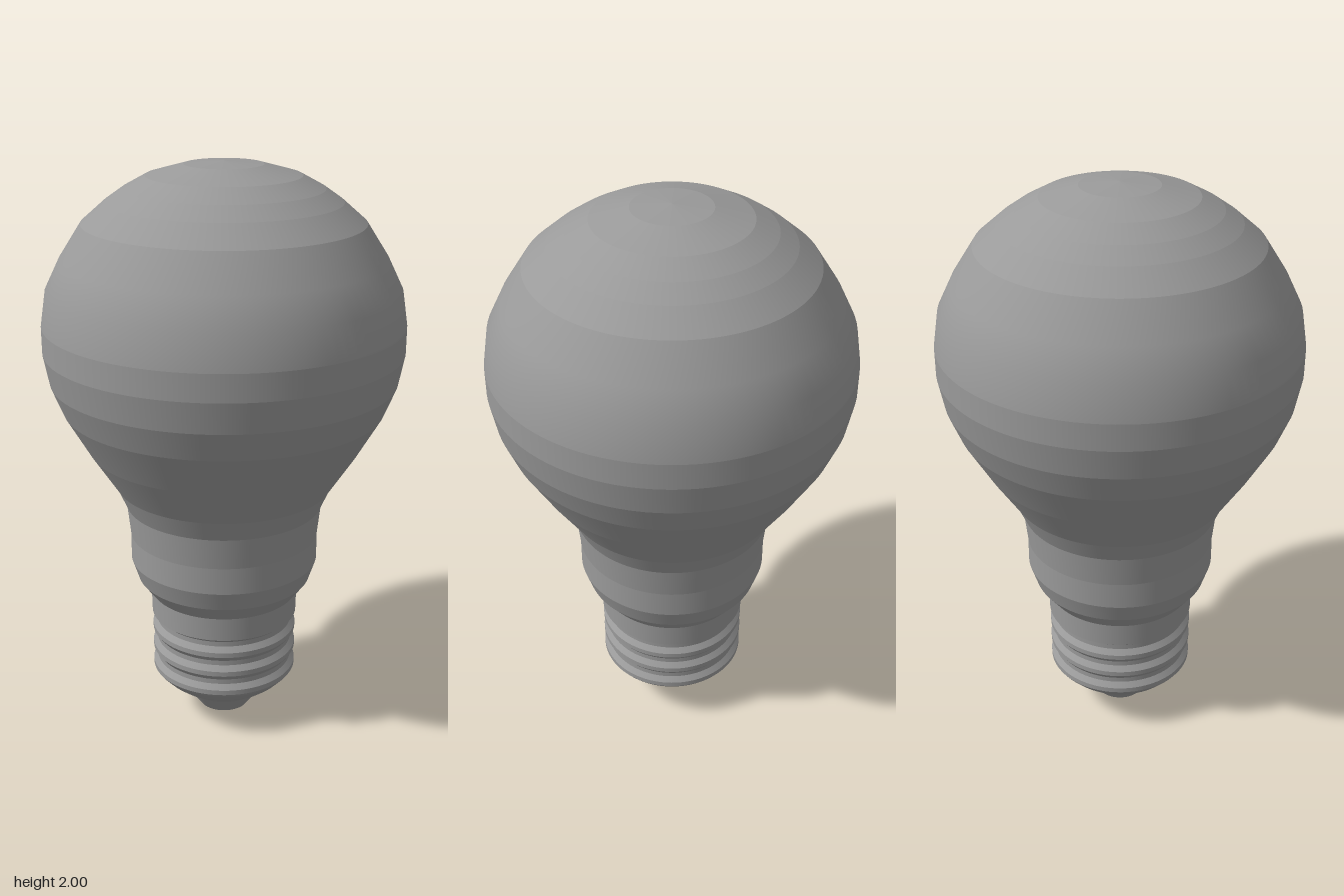
import * as THREE from 'three';
import { mergeGeometries } from 'three/addons/utils/BufferGeometryUtils.js';

const SIDES = 96;
const material = new THREE.MeshStandardMaterial({ color: 0x9a9a9a, side: THREE.DoubleSide });

// Revolve bottom-to-top [radius, height] points; normals are smooth along the profile
function revolve(profile) {
  return new THREE.LatheGeometry(profile.map(([r, y]) => new THREE.Vector2(r, y)), SIDES);
}

// One cone per profile step: smooth around the axis, crisp edges between bands
function banded(profile) {
  return profile.slice(1).map((point, i) => revolve([profile[i], point]));
}

function part(name, geometries) {
  const mesh = new THREE.Mesh(mergeGeometries(geometries), material);
  mesh.name = name;
  return mesh;
}

// Screw thread: three rounded ridges between narrow grooves
function threadProfile() {
  const profile = [[0.222, 0.14], [0.25, 0.17]];
  for (const y of [0.19, 0.265, 0.34]) {
    profile.push([0.258, y - 0.009], [0.258, y + 0.009], [0.243, y + 0.028], [0.243, y + 0.046]);
  }
  profile.push([0.26, 0.4], [0.262, 0.485]);
  return profile;
}

export function createModel() {
  const bulb = new THREE.Group();
  bulb.name = 'lightBulb';

  bulb.add(part('contactTip', banded([
    [0, 0], [0.07, 0.003], [0.09, 0.012], [0.105, 0.032],
  ])));

  bulb.add(part('insulatorCone', banded([
    [0.105, 0.032], [0.135, 0.075], [0.16, 0.1], [0.195, 0.118], [0.222, 0.14],
  ])));

  bulb.add(part('screwBase', banded(threadProfile())));

  bulb.add(part('collar', banded([
    [0.262, 0.485], [0.307, 0.545], [0.33, 0.615], [0.33, 0.71], [0.342, 0.82],
  ])));

  // Banded lower flare, smooth shoulder, banded crown
  bulb.add(part('globe', [
    ...banded([
      [0.342, 0.82], [0.375, 0.895], [0.465, 1.035], [0.548, 1.18], [0.588, 1.28],
      [0.608, 1.385], [0.608, 1.475],
    ]),
    revolve([[0.608, 1.475], [0.59, 1.59], [0.541, 1.69], [0.467, 1.805]]),
    ...banded([
      [0.467, 1.805], [0.39, 1.872], [0.33, 1.914], [0.255, 1.955], [0.13, 1.99], [0, 2],
    ]),
  ]));

  return bulb;
}
